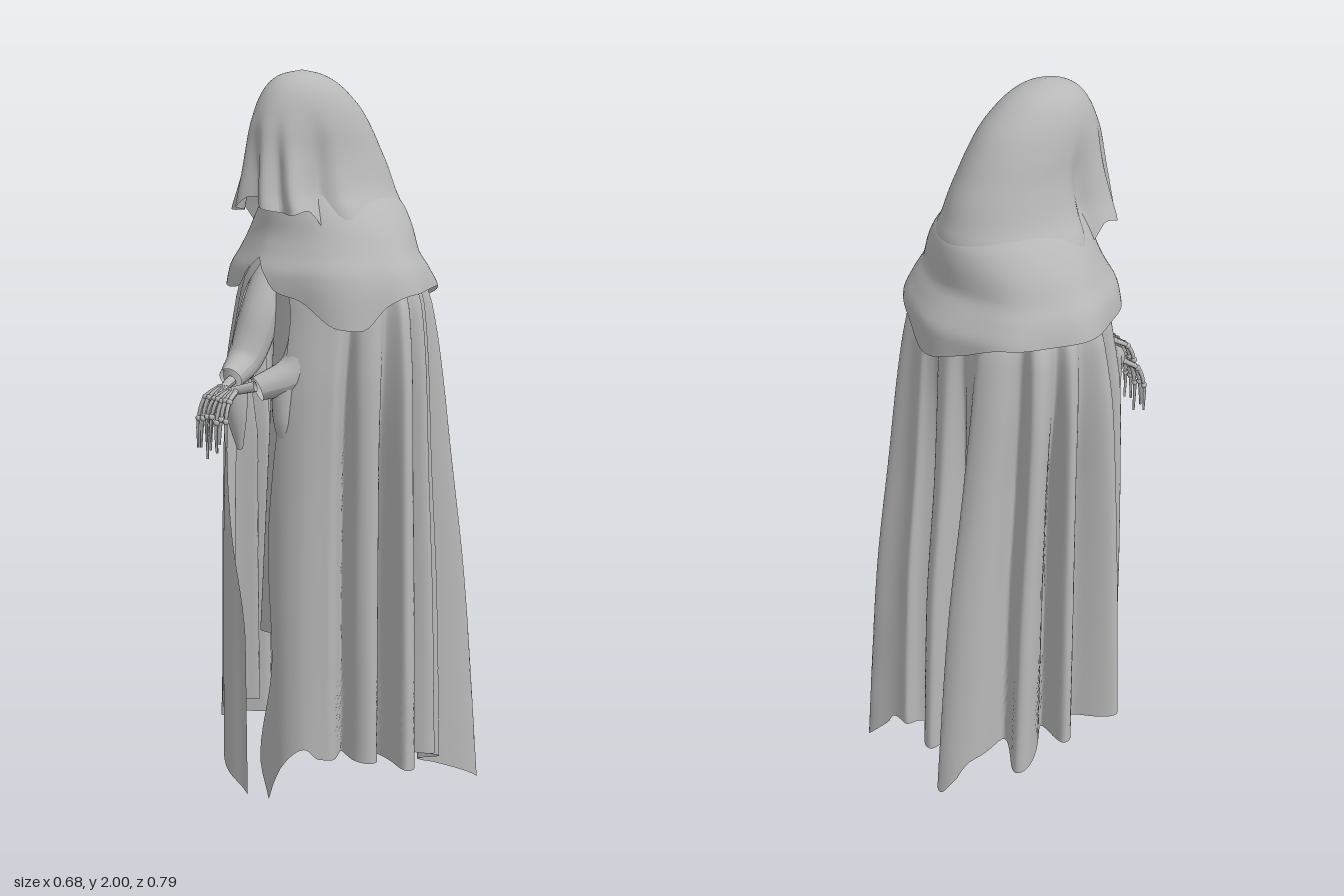
import * as THREE from 'three';
import { mergeVertices } from 'three/addons/utils/BufferGeometryUtils.js';

const cloth = new THREE.MeshStandardMaterial({ color: 0xb8b8b8, side: THREE.DoubleSide });
cloth.name = 'grey cloth';

// Reads column c from rows sorted by their first entry, on a smooth curve without overshoot
function read(rows, k, c = 1) {
  const last = rows.length - 1;
  if (k <= rows[0][0]) return rows[0][c];
  if (k >= rows[last][0]) return rows[last][c];
  let i = 0;
  while (k > rows[i + 1][0]) i++;
  const slope = (j) => (rows[j + 1][c] - rows[j][c]) / (rows[j + 1][0] - rows[j][0]);
  const tangent = (j) => {
    if (j === 0) return slope(0);
    if (j === last) return slope(last - 1);
    const a = slope(j - 1), b = slope(j);
    return a * b <= 0 ? 0 : 2 * a * b / (a + b);
  };
  const w = rows[i + 1][0] - rows[i][0], f = (k - rows[i][0]) / w;
  const f2 = f * f, f3 = f2 * f;
  return rows[i][c] * (2 * f3 - 3 * f2 + 1) + tangent(i) * w * (f3 - 2 * f2 + f)
    + rows[i + 1][c] * (3 * f2 - 2 * f3) + tangent(i + 1) * w * (f3 - f2);
}
const bell = (a, centre, width, power = 2) => Math.exp(-(Math.abs((a - centre) / width) ** power));
const rad = THREE.MathUtils.degToRad;

// Sheet of cloth from a rule (u around, v downwards) => [x, y, z]
function drape(name, nu, nv, rule) {
  const g = new THREE.PlaneGeometry(1, 1, nu, nv);
  const p = g.attributes.position;
  for (let i = 0; i < p.count; i++) p.setXYZ(i, ...rule(p.getX(i) + 0.5, 0.5 - p.getY(i)));
  g.deleteAttribute('uv');
  g.deleteAttribute('normal');
  const merged = mergeVertices(g, 1e-5);
  merged.computeVertexNormals();
  const mesh = new THREE.Mesh(merged, cloth);
  mesh.name = name;
  return mesh;
}

// Tapered tube through points [x, y, z, radius]
function limb(name, pts, segs, sides) {
  const curve = new THREE.CatmullRomCurve3(pts.map((q) => new THREE.Vector3(q[0], q[1], q[2])));
  const g = new THREE.TubeGeometry(curve, segs, 1, sides, false);
  const p = g.attributes.position;
  const radii = pts.map((q, i) => [i / (pts.length - 1), q[3]]);
  const v = new THREE.Vector3();
  for (let i = 0; i < p.count; i++) {
    const t = Math.floor(i / (sides + 1)) / segs;
    const c = curve.getPointAt(t);
    v.fromBufferAttribute(p, i).sub(c).multiplyScalar(read(radii, t)).add(c);
    p.setXYZ(i, v.x, v.y, v.z);
  }
  g.computeVertexNormals();
  const mesh = new THREE.Mesh(g, cloth);
  mesh.name = name;
  return mesh;
}

// Angles run from the front (0) through +x (90) and the back (180)
// Fold ridges of the cloak: angle, height, width, sideways lean
const folds = [[31, 0.025, 13, 0], [72, 0.02, 6, 0], [95, 0.075, 7, -0.7], [115, 0.025, 6, 0.5], [132, 0.02, 6, 0],
  [150, 0.135, 7, 0.15], [162, 0.045, 6, 1], [187, 0.04, 6, 0.6], [222, 0.07, 11, -1.5],
  [247, 0.1, 7, -0.5], [267, 0.05, 6, -0.4], [285, 0.065, 7, 1.1], [316, 0.03, 8, 0], [337, 0.03, 12, 0]];
// Deep creases between them: angle, depth, width
const creases = [[58, 0.07, 4], [82, 0.05, 4], [106, 0.06, 4], [124, 0.05, 4], [140, 0.06, 4], [175, 0.025, 4],
  [198, 0.04, 4], [236, 0.06, 4], [258, 0.06, 4], [276, 0.05, 4], [304, 0.07, 4], [325, 0.03, 4]];
const cloakHem = [[14, 0.09], [25, 0.16], [42, 0.26], [50, 0.23], [87, 0.21], [120, 0.17], [140, 0.1], [150, 0],
  [160, 0.12], [175, 0.11], [195, 0.11], [212, 0.08], [221, 0.015], [232, 0.14], [247, 0.15], [270, 0.18], [290, 0.18],
  [304, 0.26], [318, 0.26], [332, 0.16], [356, 0.07]];
// Height, x of the two front edges
const cloakEdge = [[0.08, -0.02, 0.07], [0.2, -0.02, 0.035], [0.5, -0.02, 0.085], [0.8, -0.07, 0.07],
  [1, -0.1, 0.085], [1.25, -0.125, 0.115], [1.4, -0.11, 0.11], [1.54, -0.05, 0.05]];
// Height, half width, front depth, back depth
const cloakBody = [[0, 0.28, 0.275, 0.31], [0.6, 0.28, 0.275, 0.285], [1, 0.28, 0.268, 0.25],
  [1.2, 0.28, 0.26, 0.237], [1.4, 0.27, 0.225, 0.222], [1.47, 0.25, 0.212, 0.205], [1.54, 0.2, 0.18, 0.165]];

function cloakRule(u, v) {
  const hemY = read(cloakHem, 14 + u * 342);
  const y = 1.54 + (hemY - 1.54) * v;
  const a0 = Math.atan2(read(cloakEdge, y, 2), 0.27) * 180 / Math.PI;
  const a1 = 360 + Math.atan2(read(cloakEdge, y, 1), 0.27) * 180 / Math.PI;
  const a = a0 + (a1 - a0) * u;
  const t = Math.max(0, (1.54 - y) / 1.54);
  const grow = 0.05 + 0.95 * t ** 0.6;
  let out = 0, across = 0;
  for (const [centre, height, width, lean] of folds) {
    const h = grow * height * bell(a, centre, width, 2.6);
    out += h;
    across += h * lean;
  }
  for (const [centre, depth, width] of creases) out -= Math.min(1, t * 3) * depth * bell(a, centre, width);
  const [rx, zf, zb] = [1, 2, 3].map((c) => read(cloakBody, y, c));
  const s = Math.sin(rad(a)), c = Math.cos(rad(a));
  return [s * (rx + out) + c * across, y, c * ((c > 0 ? zf : zb) + out) - s * across];
}

// Height, half width, front z, back z
const hoodRows = [[1.55, 0.2, 0.2, -0.19], [1.6, 0.195, 0.25, -0.203], [1.65, 0.178, 0.255, -0.203],
  [1.7, 0.15, 0.252, -0.188], [1.75, 0.133, 0.248, -0.17], [1.8, 0.121, 0.245, -0.145], [1.85, 0.113, 0.24, -0.118],
  [1.9, 0.102, 0.225, -0.085], [1.94, 0.087, 0.205, -0.045], [1.97, 0.067, 0.18, -0.005], [1.99, 0.04, 0.145, 0.04],
  [2, 0, 0.09, 0.09]];
const hoodHem = [[0, 1.69], [8, 1.69], [16, 1.665], [40, 1.65], [52, 1.66], [66, 1.6], [180, 1.57]];

function hoodRule(u, v) {
  const a = u * 360 - 180, d = Math.abs(a);
  const y = 2 - (2 - read(hoodHem, d)) * v ** 1.7;
  const [rx, zf, zb] = [1, 2, 3].map((c) => read(hoodRows, y, c));
  const s = Math.sin(rad(a)), c = Math.cos(rad(a));
  const mid = 0.02 + 0.07 * THREE.MathUtils.smoothstep(y, 1.75, 2);
  const fall = THREE.MathUtils.smoothstep(2 - y, 0.08, 0.34);
  // Flat hanging front with pleats over the face and a crease beside each cheek
  const depth = c > 0 ? (zf - mid) * c ** (1 - 0.25 * fall) : (mid - zb) * c;
  const pleat = fall * (0.018 * (bell(d, 16, 8) + bell(d, 42, 8)) - 0.025 * bell(d, 0, 9) - 0.02 * bell(d, 30, 6) - 0.04 * bell(d, 66, 9));
  return [(rx + pleat) * s, y, mid + depth + pleat * c];
}

const mantleRows = [[1.36, 0.305, 0.255, -0.27], [1.45, 0.292, 0.253, -0.268], [1.5, 0.278, 0.248, -0.24],
  [1.55, 0.25, 0.222, -0.212], [1.6, 0.222, 0.2, -0.212], [1.65, 0.185, 0.19, -0.205], [1.7, 0.14, 0.175, -0.17]];
const mantleHem = [[0, 1.54], [8, 1.505], [16, 1.46], [30, 1.44], [50, 1.375], [62, 1.37], [80, 1.43], [95, 1.45],
  [130, 1.455], [155, 1.42], [180, 1.375], [205, 1.41], [230, 1.45], [265, 1.45], [300, 1.45], [330, 1.45],
  [344, 1.46], [352, 1.505], [360, 1.54]];

function mantleRule(u, v) {
  const a = u * 360;
  const y = 1.7 + (read(mantleHem, a) - 1.7) * v;
  const [rx, zf, zb] = [1, 2, 3].map((c) => read(mantleRows, y, c));
  const s = Math.sin(rad(a)), c = Math.cos(rad(a));
  const k = 1 + 0.02 * v * v * Math.sin(rad(a * 8 + 40));
  return [rx * s * k, y, c * (c > 0 ? zf : -zb) * k];
}

// Narrow under-robe, its front hem ending above the knees
function robeRule(u, v) {
  const a = u * 360, s = Math.sin(rad(a)), c = Math.cos(rad(a));
  const y = 1.66 - (1.13 - 0.04 * s) * v;
  const k = 1 + 0.03 * v * Math.sin(rad(a * 6));
  return [s * (0.13 + 0.02 * v) * k, y, 0.01 + c * (0.12 + 0.08 * v) * k];
}

// Skeletal hand: wrist bones, then four jointed fingers and a thumb
function hand(name, cuff, wrist, reach, spread, drop) {
  const group = new THREE.Group();
  group.name = name;
  const [x, y, z] = wrist;
  group.add(limb('wristBones', [[...cuff, 0.014], [...wrist, 0.011]], 4, 8));
  for (let i = 0; i < 5; i++) {
    const f = i / 4 - 0.5, len = drop * (1 - 0.5 * f * f - 0.12 * (i % 2));
    const path = [[x + f * 0.03, y, z],
      [x + f * spread * 0.75, y - len * 0.15, z + reach * 0.6],
      [x + f * spread * 0.95, y - len * 0.5, z + reach * 0.92],
      [x + f * spread, y - len, z + reach * (0.95 + 0.1 * (i % 2))]];
    group.add(limb('finger', path.map((p, j) => [...p, 0.0075 - 0.0015 * j]), 14, 6));
    for (const p of path.slice(0, 3)) {
      const knuckle = new THREE.Mesh(new THREE.SphereGeometry(0.0085, 8, 6), cloth);
      knuckle.name = 'knuckle';
      knuckle.position.set(...p);
      group.add(knuckle);
    }
  }
  return group;
}

export function createModel() {
  const model = new THREE.Group();
  model.name = 'hoodedFigure';
  model.add(
    drape('cloak', 360, 44, cloakRule),
    drape('hood', 120, 50, hoodRule),
    drape('mantle', 120, 24, mantleRule),
    drape('underRobe', 64, 24, robeRule),
  );

  // Sleeves kept inside the cloak, each with a tail of cloth hanging from the cuff
  for (const [side, m, out] of [['left', 1, 0.03], ['right', -1, 0]]) {
    model.add(
      limb(side + 'Sleeve', [[m * 0.13, 1.5, 0.08, 0.05], [m * 0.115, 1.38, 0.14, 0.055],
        [m * 0.11, 1.26, 0.2, 0.05], [m * 0.078, 1.22, 0.27 + out, 0.032]], 28, 20),
      limb(side + 'SleeveTail', [[m * 0.105, 1.25, 0.23, 0.035], [m * 0.105, 1.15, 0.235, 0.03], [m * 0.11, 1.02, 0.22, 0.008]], 12, 16),
    );
  }

  // Hands
  model.add(
    hand('leftHand', [0.07, 1.225, 0.3], [0.02, 1.21, 0.335], 0.055, 0.085, 0.15),
    hand('rightHand', [-0.08, 1.215, 0.265], [-0.07, 1.2, 0.3], 0.055, 0.085, 0.18),
  );
  return model;
}
